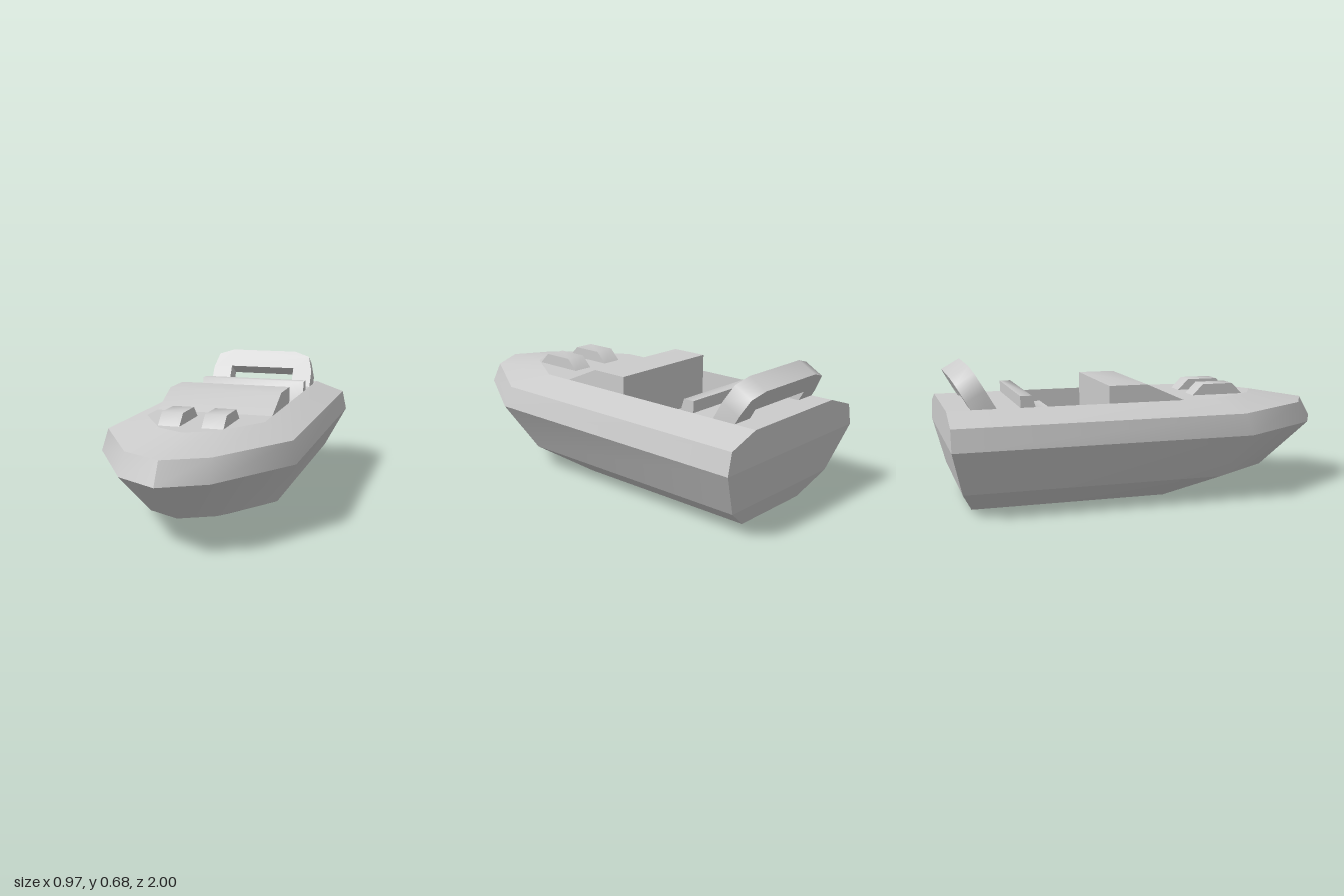
import * as THREE from 'three';
import { toCreasedNormals } from 'three/addons/utils/BufferGeometryUtils.js';

const grey = new THREE.MeshStandardMaterial({ color: 0xcccccc });

function add(parent, geometry, name) {
  const mesh = new THREE.Mesh(geometry, grey);
  mesh.name = name;
  parent.add(mesh);
  return mesh;
}

// Hull waterlines: height, half width, stern z, shoulder z, bow corner x and z, tip z
const levels = [
  [0.0, 0.22, -0.89, 0.07, 0.1, 0.25, 0.3],
  [0.11, 0.37, -0.945, 0.32, 0.16, 0.63, 0.715],
  [0.33, 0.485, -1.0, 0.44, 0.21, 0.88, 1.0],
  [0.435, 0.462, -1.0, 0.41, 0.2, 0.83, 0.94],
  [0.49, 0.3, -1.0, 0.3, 0.14, 0.56, 0.635],
];

// Closed outline of one waterline, from the left stern corner round the bow
function outline([y, w, stern, shoulder, cx, cz, tip]) {
  const half = [[w, stern], [w, shoulder], [cx, cz]];
  const mirrored = half.map(([x, z]) => [-x, z]).reverse();
  return [...half, [0, tip], ...mirrored].map(([x, z]) => new THREE.Vector3(x, y, z));
}

const surface = (points) => toCreasedNormals(new THREE.BufferGeometry().setFromPoints(points), 0.6);

// Strip of faces between two outlines
function band(low, high) {
  const points = [];
  low.forEach((a, i) => {
    const j = (i + 1) % low.length;
    points.push(low[j], a, high[i], low[j], high[i], high[j]);
  });
  return surface(points);
}

// Flat lid over an outline
function cap(loop, up) {
  const points = [];
  for (let i = 1; i < loop.length - 1; i++) {
    points.push(loop[0], ...(up ? [loop[i + 1], loop[i]] : [loop[i], loop[i + 1]]));
  }
  return surface(points);
}

// Side profile of [z, y] points, extruded across the boat
function acrossBoat(profile, width, crease) {
  const shape = new THREE.Shape(profile.map(([z, y]) => new THREE.Vector2(z, y)));
  const geometry = new THREE.ExtrudeGeometry(shape, { depth: width, bevelEnabled: false });
  geometry.translate(0, 0, -width / 2).rotateY(-Math.PI / 2);
  return toCreasedNormals(geometry, crease);
}

export function createModel() {
  const boat = new THREE.Group();
  boat.name = 'speedboat';

  // Hull shell
  const hull = new THREE.Group();
  hull.name = 'hull';
  boat.add(hull);
  const loops = levels.map(outline);
  add(hull, cap(loops[0], false), 'hullBottom');
  ['lowerHull', 'hullSides', 'gunwale', 'deckSlope'].forEach((name, i) =>
    add(hull, band(loops[i], loops[i + 1]), name));

  // Deck ahead of and behind the cockpit
  const deckLevel = levels[4].slice();
  deckLevel[2] = -0.23;
  add(boat, cap(outline(deckLevel), true), 'foredeck');
  add(boat, new THREE.PlaneGeometry(0.6, 0.34).rotateX(-Math.PI / 2), 'sternDeck')
    .position.set(0, 0.49, -0.83);

  // Cockpit well
  const floorY = 0.26, depth = 0.49 - floorY;
  const cockpit = new THREE.Group();
  cockpit.name = 'cockpit';
  boat.add(cockpit);
  add(cockpit, new THREE.PlaneGeometry(0.6, 0.43).rotateX(-Math.PI / 2), 'cockpitFloor')
    .position.set(0, floorY, -0.445);
  for (const side of [-1, 1]) {
    add(cockpit, new THREE.PlaneGeometry(0.43, depth).rotateY(-side * Math.PI / 2), 'cockpitWall')
      .position.set(side * 0.3, floorY + depth / 2, -0.445);
  }

  // Cockpit cowl and bench seat
  add(boat, acrossBoat([[0.15, 0.49], [-0.04, 0.575], [-0.23, 0.575], [-0.23, floorY], [0.15, floorY]], 0.6, 0.6), 'cowl');
  add(boat, acrossBoat([[-0.45, floorY], [-0.45, 0.43], [-0.565, 0.42], [-0.605, 0.545], [-0.66, 0.545], [-0.66, floorY]], 0.6, 1.35), 'benchSeat');

  // Pair of foredeck vents
  for (const side of [-1, 1]) {
    add(boat, acrossBoat([[0.525, 0.485], [0.465, 0.545], [0.305, 0.545], [0.245, 0.485]], 0.106, 0.85), 'deckVent')
      .position.x = side * 0.107;
  }

  // Raked stern arch, legs sunk into the deck
  const right = [[0.19, -0.06], [0.3, -0.06], [0.3, 0.1], [0.275, 0.19], [0.19, 0.22]];
  const left = right.map(([x, y]) => [-x, y]).reverse();
  const archShape = new THREE.Shape([...right, ...left, [-0.19, 0.113], [0.19, 0.113]]
    .map(([x, y]) => new THREE.Vector2(x, y)));
  const arch = new THREE.ExtrudeGeometry(archShape, { depth: 0.103, bevelEnabled: false });
  arch.translate(0, 0, -0.103).rotateX(-Math.PI / 6);
  add(boat, toCreasedNormals(arch, 1), 'sternArch').position.set(0, 0.49, -0.77);

  return boat;
}
